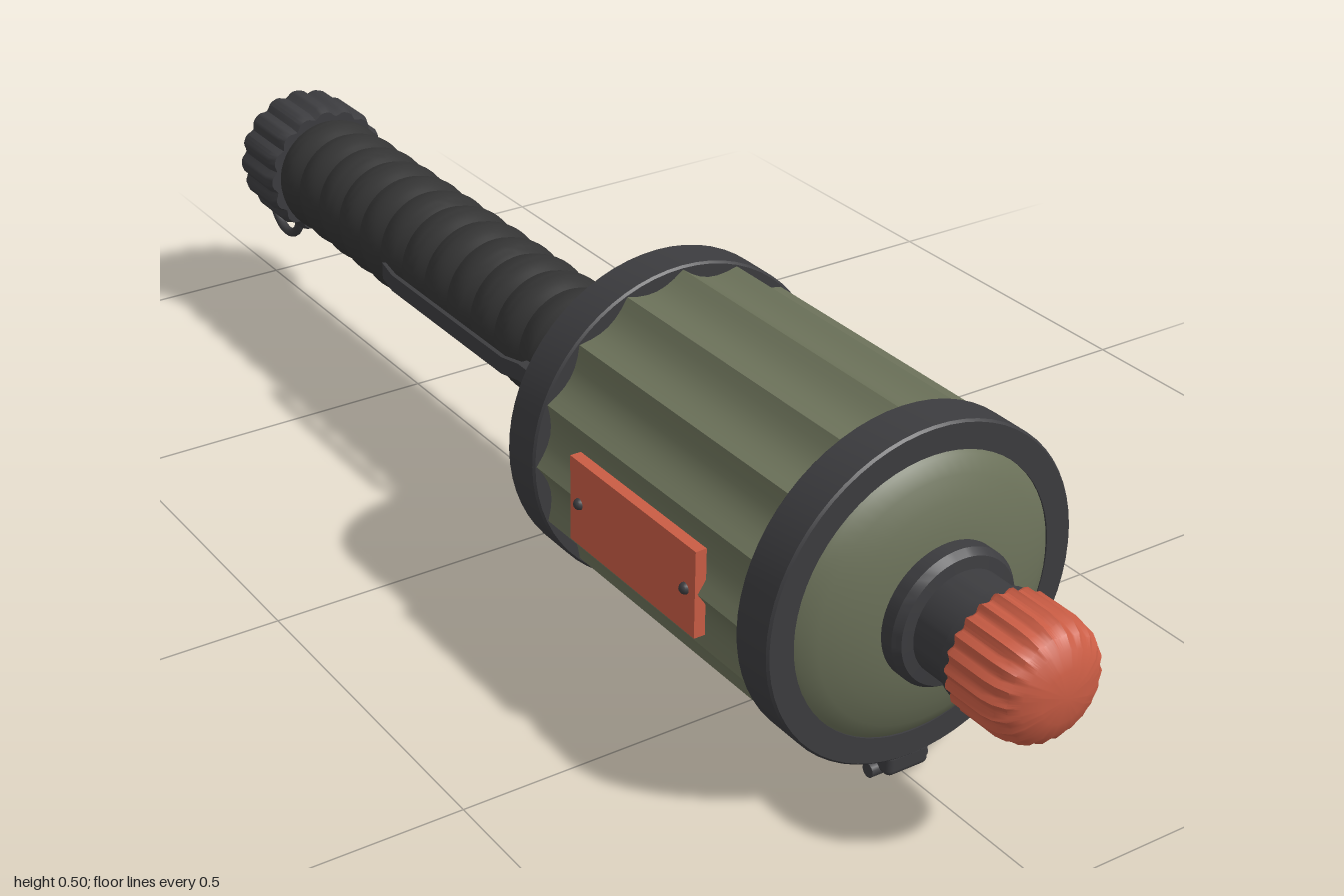
import * as THREE from 'three';
import { toCreasedNormals } from 'three/addons/utils/BufferGeometryUtils.js';
import { RoundedBoxGeometry } from 'three/addons/geometries/RoundedBoxGeometry.js';

const AXIS_Y = 0.267;
const mat = (color) => new THREE.MeshStandardMaterial({ color });

export function createModel() {
  const model = new THREE.Group();
  const olive = mat(0x6b7159), dark = mat(0x3c3c3f), rubber = mat(0x343434);
  const red = mat(0xc95c44), steel = mat(0xb9b9a4);

  const add = (name, geometry, material, x = 0, y = AXIS_Y, z = 0) => {
    const mesh = new THREE.Mesh(geometry, material);
    mesh.name = name;
    mesh.position.set(x, y, z);
    model.add(mesh);
    return mesh;
  };

  // Turned part along z: pairs of [radius, z], back to front; rule scales the radius by angle
  const turned = (pairs, segments = 64, rule = null) => {
    const g = new THREE.LatheGeometry(pairs.map(([r, z]) => new THREE.Vector2(r, z)), segments);
    g.rotateX(Math.PI / 2);
    if (rule) {
      const p = g.attributes.position;
      for (let i = 0; i < p.count; i++) {
        const k = rule(Math.atan2(p.getY(i), p.getX(i)), p.getZ(i));
        p.setXY(i, p.getX(i) * k, p.getY(i) * k);
      }
    }
    return toCreasedNormals(g, 0.55);
  };

  // Drum with sixteen concave flutes meeting in sharp ridges
  const flutes = 16, steps = 6, outline = [];
  for (let i = 0; i < flutes * steps; i++) {
    const t = (i % steps) / steps;
    const r = 0.226 - 0.017 * 4 * t * (1 - t);
    const a = (i / (flutes * steps)) * Math.PI * 2;
    outline.push(new THREE.Vector2(r * Math.cos(a), r * Math.sin(a)));
  }
  const drum = new THREE.ExtrudeGeometry(new THREE.Shape(outline), { depth: 0.48, bevelEnabled: false });
  add('flutedDrum', toCreasedNormals(drum, 0.5), olive, 0, AXIS_Y, 0.215);

  // Domed ends of the drum
  add('frontDome', turned([[0.197, 0.7], [0.197, 0.738], [0.188, 0.748], [0.168, 0.759],
    [0.14, 0.77], [0.11, 0.778], [0.08, 0.783], [0, 0.785]]), olive);
  add('rearDome', turned([[0, 0.128], [0.08, 0.13], [0.11, 0.135], [0.14, 0.142],
    [0.168, 0.152], [0.188, 0.161], [0.197, 0.17], [0.197, 0.2]]), olive);

  // Clamp bands, each with a lug and cross bolt underneath
  for (const [side, z] of [['front', 0.713], ['rear', 0.199]]) {
    add(side + 'Band', turned([[0.193, -0.032], [0.228, -0.032], [0.231, -0.029],
      [0.231, 0.029], [0.228, 0.032], [0.193, 0.032], [0.193, -0.032]]), dark, 0, AXIS_Y, z);
    add(side + 'Lug', new RoundedBoxGeometry(0.066, 0.034, 0.052, 3, 0.009), dark, 0, 0.024, z);
    const bolt = new THREE.CylinderGeometry(0.01, 0.01, 0.088, 16).rotateZ(Math.PI / 2);
    add(side + 'Bolt', bolt, dark, 0, 0.01, z);
  }

  // Name plates with two rivets on each side
  for (const s of [1, -1]) {
    const side = s > 0 ? 'left' : 'right';
    add(side + 'Plate', new THREE.BoxGeometry(0.016, 0.122, 0.278), red, s * 0.222, AXIS_Y, 0.458);
    for (const z of [0.34, 0.576]) {
      const rivet = new THREE.SphereGeometry(0.008, 12, 8);
      add(side + 'Rivet', rivet, dark, s * 0.23, AXIS_Y, z);
    }
  }

  // Collar and neck carrying the nose cap
  add('noseNeck', turned([[0, 0.77], [0.093, 0.77], [0.093, 0.8], [0.086, 0.81], [0.07, 0.812],
    [0.07, 0.865], [0.076, 0.868], [0.076, 0.885], [0, 0.885]]), dark);

  // Ribbed nose cap, ribs fading into the rounded crown
  add('noseCap', turned([[0, 0.878], [0.079, 0.878], [0.083, 0.884], [0.083, 0.945], [0.08, 0.962],
    [0.072, 0.977], [0.058, 0.988], [0.035, 0.996], [0, 1]], 132,
  (a, z) => 1 - 0.065 * Math.abs(Math.sin(a * 11)) * Math.min(1, (1 - z) / 0.03)), red);

  // Grip with rounded rings, flared where it meets the drum
  const grip = [[0, -0.79]];
  const rings = 12, pitch = 0.067;
  for (let i = 0; i <= rings * 8; i++) {
    grip.push([0.084 + 0.009 * Math.abs(Math.sin((i / 8) * Math.PI)), -0.785 + (i / 8) * pitch]);
  }
  grip.push([0.089, 0.028], [0.09, 0.08], [0.095, 0.115], [0.104, 0.14], [0, 0.145]);
  add('grip', turned(grip, 48), rubber);

  // Scalloped end cap
  add('endCap', turned([[0, -0.893], [0.094, -0.893], [0.104, -0.885], [0.107, -0.875],
    [0.107, -0.795], [0.101, -0.78], [0, -0.78]], 128,
  (a) => 1 - 0.075 * Math.pow(0.5 - 0.5 * Math.cos(a * 16), 2)), dark);

  // Pull wire and ring
  const wirePath = new THREE.CatmullRomCurve3([[0.262, -0.885], [0.265, -0.912], [0.248, -0.936],
    [0.22, -0.943], [0.197, -0.943]].map(([y, z]) => new THREE.Vector3(0, y, z)));
  add('pullWire', new THREE.TubeGeometry(wirePath, 24, 0.0045, 8), steel, 0, 0, 0);
  const ring = new THREE.TorusGeometry(0.05, 0.0075, 12, 40).rotateY(Math.PI / 2);
  add('pullRing', ring, dark, 0, 0.148, -0.9425);

  // Spring clip along the grip: bent strip in the x-z plane, extruded upward
  const strip = new THREE.Shape([[-0.085, 0.012], [-0.108, 0.012], [-0.108, -0.01], [-0.117, -0.04],
    [-0.117, -0.355], [-0.108, -0.4], [-0.103, -0.398], [-0.11, -0.355], [-0.11, -0.04],
    [-0.1, -0.012], [-0.085, -0.012]].map(([x, z]) => new THREE.Vector2(x, -z)));
  const clip = new THREE.ExtrudeGeometry(strip, { depth: 0.026, bevelEnabled: false });
  add('springClip', clip.rotateX(-Math.PI / 2), dark, 0, AXIS_Y - 0.013, 0);

  return model;
}
